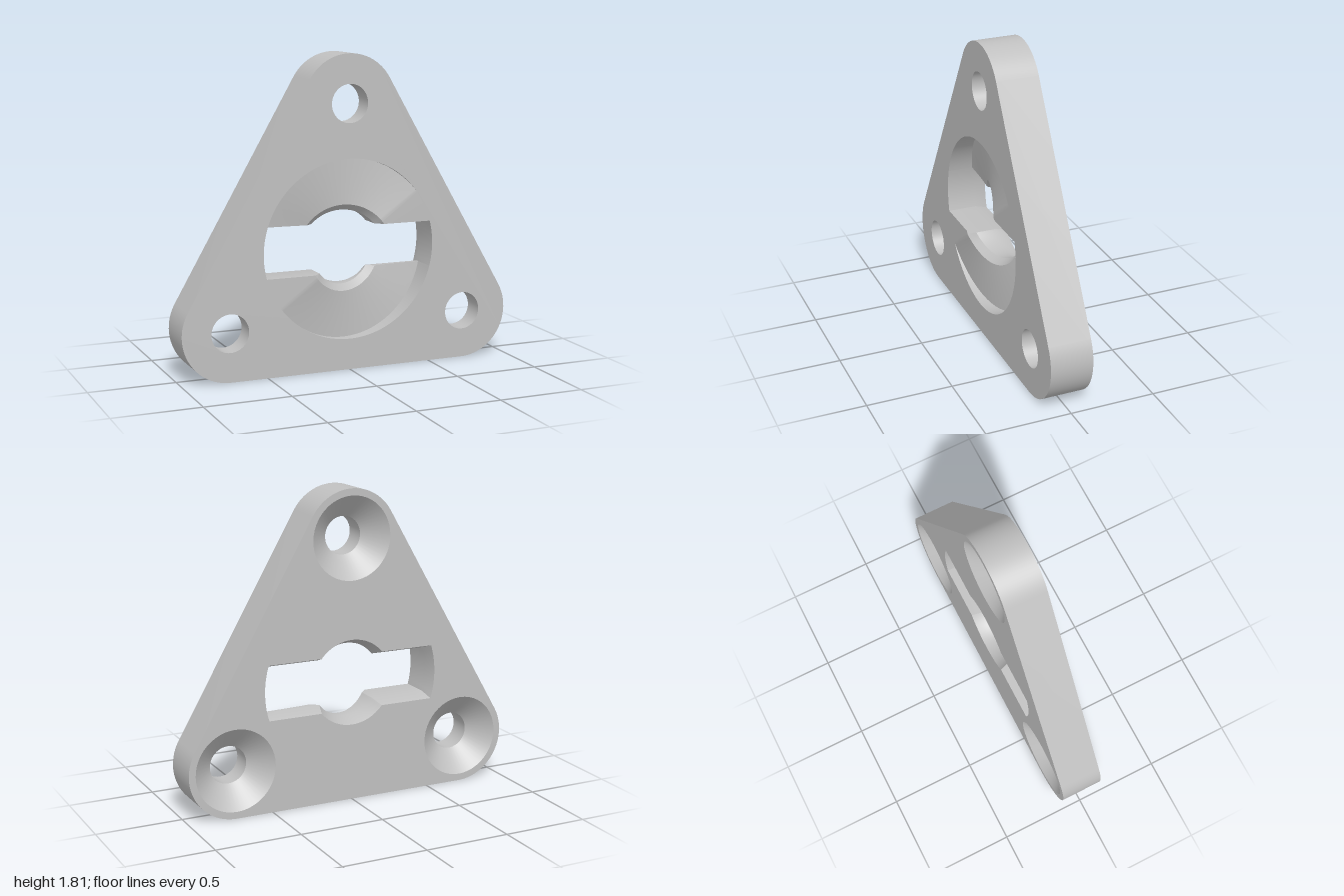
import * as THREE from 'three';
import { toCreasedNormals } from 'three/addons/utils/BufferGeometryUtils.js';

const FRONT = 0.125, BACK = -0.125;      // plate faces
const CY = 0.70;                         // height of the central opening
const CORNERS = [[0, 1.53, 30], [-0.72, 0.28, 150], [0.72, 0.28, 270]];
const R = 0.52, RB = 0.54;               // recess radius, and slot end radius at the back
const H = 0.133, HB = 0.16;              // slot half height, inside and at the back
const BORE = 0.215, RIM = 0.25;          // bore radius and its chamfered rim
const BEVEL = BACK + 0.08;               // where the rear bevel starts
const rad = THREE.MathUtils.degToRad;

const arc = (x, y, r, a, b, n) => Array.from({ length: n + 1 }, (_, i) => {
  const t = a + (b - a) * i / n;
  return new THREE.Vector2(x + r * Math.cos(t), y + r * Math.sin(t));
});

// Skin through a row of cross-sections
function loft(rows) {
  const pos = [];
  for (let i = 0; i + 1 < rows.length; i++) {
    for (let j = 0; j + 1 < rows[i].length; j++) {
      const a = rows[i][j], b = rows[i + 1][j], c = rows[i + 1][j + 1], d = rows[i][j + 1];
      for (const t of [[a, b, c], [a, c, d]]) {
        if (new THREE.Triangle(...t).getArea() > 1e-8) t.forEach(p => pos.push(p.x, p.y, p.z));
      }
    }
  }
  const g = new THREE.BufferGeometry();
  g.setAttribute('position', new THREE.Float32BufferAttribute(pos, 3));
  g.computeVertexNormals();
  return toCreasedNormals(g, rad(30));
}

const polar = (r, t, z) => new THREE.Vector3(r * Math.cos(t), r * Math.sin(t), z);

// Angles of the slot corners, inside and at the back
const A0 = Math.asin(H / R), A1 = Math.asin(H / BORE), AR = Math.asin(H / RIM);
const B0 = Math.asin(HB / RB), B1 = Math.asin(HB / RIM);
const RAMP = rad(37), DEPTH = 0.15;

function backAngle(t) {
  if (t > Math.PI / 2) return Math.PI - backAngle(Math.PI - t);
  return t < A1 ? B0 + (B1 - B0) * (t - A0) / (A1 - A0)
    : B1 + (Math.PI / 2 - B1) * (t - A1) / (Math.PI / 2 - A1);
}
const backPoint = t => {
  const b = backAngle(t);
  return polar(Math.max(RIM, HB / Math.sin(b)), b, BACK);
};

// Stations over one half of the recess, including every corner
const stations = [RAMP];
for (const [a, b, n] of [[A0, AR, 8], [AR, A1, 5], [A1, Math.PI / 2, 16]]) {
  for (let i = 0; i < n; i++) {
    const t = a + (b - a) * i / n;
    stations.push(t, Math.PI - t);
  }
}
stations.push(Math.PI / 2);
stations.sort((a, b) => a - b);

// Recess wall, spiral floor, bore chamfer, bore wall and rear bevel
function rampSection(t) {
  const z = FRONT - DEPTH * Math.max(0, t - RAMP) / (Math.PI - A0 - RAMP);
  const edge = H / Math.sin(t);
  const outer = Math.min(R, Math.max(RIM, edge)), inner = Math.min(R, Math.max(BORE, edge));
  return [polar(R, t, FRONT), polar(R, t, z), polar(outer, t, z),
    polar(inner, t, z - (outer - inner) * 1.2), polar(inner, t, BEVEL), backPoint(t)];
}

// Rounded end of the slot
const endSections = Array.from({ length: 11 }, (_, i) => {
  const s = i / 5 - 1;
  return [polar(R, s * A0, FRONT), polar(R, s * A0, BEVEL), polar(RB, s * B0, BACK)];
});

export function createModel() {
  const group = new THREE.Group();
  const grey = new THREE.MeshStandardMaterial({ color: 0xc0c0c0 });
  grey.name = 'light grey';
  const add = (name, geometry, x = 0, y = 0, turn = 0) => {
    const m = new THREE.Mesh(geometry, grey);
    m.name = name;
    m.position.set(x, y, 0);
    m.rotation.z = turn;
    group.add(m);
  };

  // Rounded triangle
  const outline = CORNERS.flatMap(([x, y, a]) => arc(x, y, 0.28, rad(a), rad(a + 120), 24));
  const face = (holes, z) => {
    const shape = new THREE.Shape(outline);
    shape.holes = holes.map(p => new THREE.Path(p));
    return new THREE.ShapeGeometry(shape).translate(0, 0, z);
  };
  const screwCircles = r => CORNERS.map(([x, y]) => arc(x, y, r, 0, 2 * Math.PI, 48).slice(0, -1));

  // Faces of the plate
  const recess = [0, Math.PI].flatMap(turn => [
    ...endSections.slice(0, -1).map((s, i) => (i / 5 - 1) * A0), ...stations.slice(0, -1),
  ].map(t => new THREE.Vector2(R * Math.cos(t + turn), CY + R * Math.sin(t + turn))));
  add('frontFace', face([recess, ...screwCircles(0.11)], FRONT));

  const keyhole = [1, -1].flatMap(k => [
    ...endSections.slice(0, -1).map(s => s[2]), ...stations.slice(0, -1).map(backPoint),
  ].map(p => new THREE.Vector2(k * p.x, CY + k * p.y)));
  add('backFace', face([keyhole, ...screwCircles(0.24)], -BACK).rotateY(Math.PI));

  // Outer edge
  add('outerEdge', loft([...outline, outline[0]].map(p =>
    [new THREE.Vector3(p.x, p.y, BACK), new THREE.Vector3(p.x, p.y, FRONT)])));

  // Countersunk screw holes
  const screw = loft(Array.from({ length: 49 }, (_, i) => {
    const t = i / 48 * 2 * Math.PI;
    return [polar(0.11, t, FRONT), polar(0.11, t, BACK + 0.12), polar(0.24, t, BACK)];
  }));
  CORNERS.forEach(([x, y]) => add('screwHole', screw, x, y));

  // Two opposed ramps and slot ends
  const ramp = loft(stations.map(rampSection)), end = loft(endSections);
  for (const turn of [0, Math.PI]) {
    add('spiralRamp', ramp, 0, CY, turn);
    add('slotEnd', end, 0, CY, turn);
  }
  return group;
}
